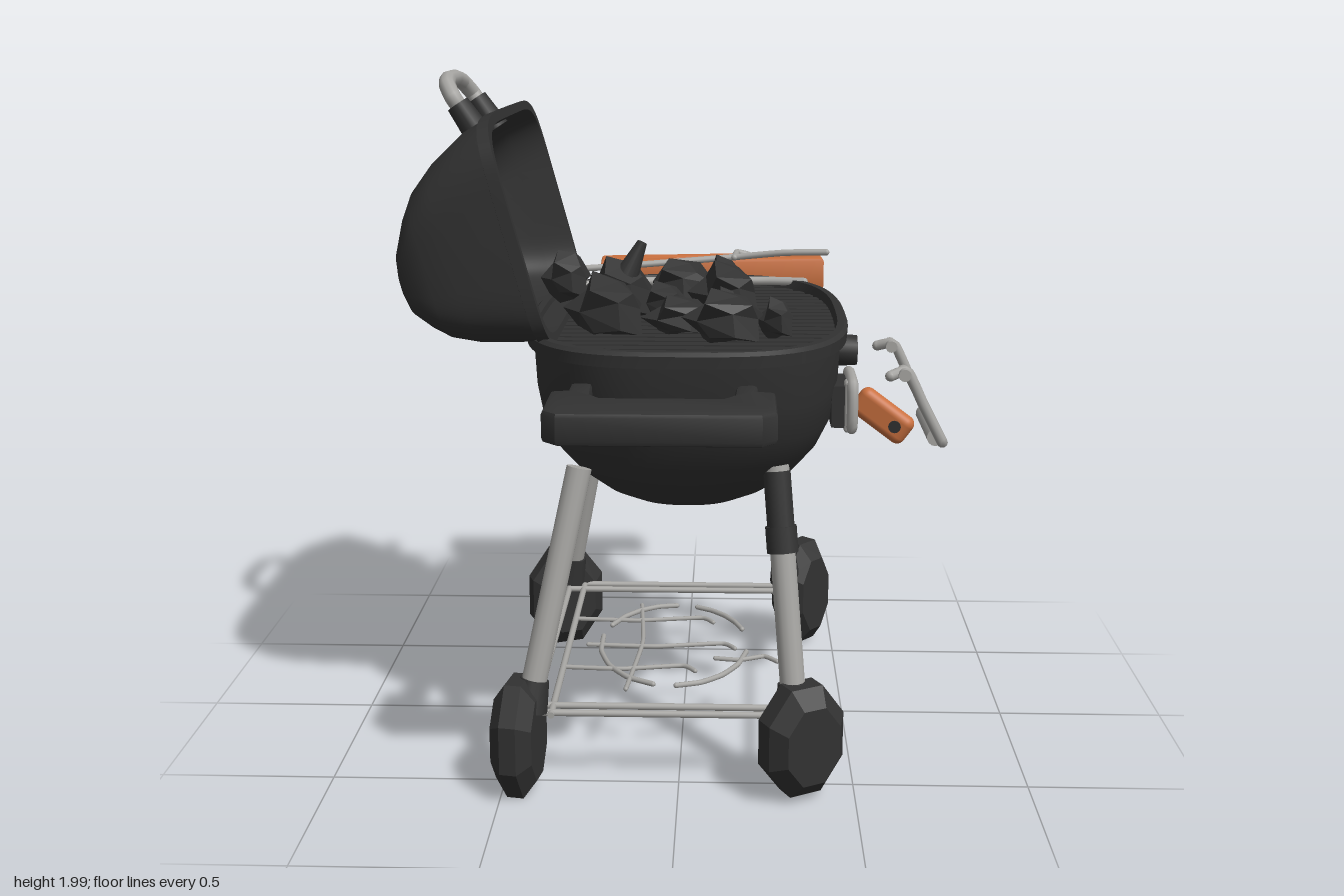
import * as THREE from 'three';
import { toCreasedNormals } from 'three/addons/utils/BufferGeometryUtils.js';
import { RoundedBoxGeometry } from 'three/addons/geometries/RoundedBoxGeometry.js';

const V = (p) => new THREE.Vector3(...p);

// Skin through superellipse rings [y, halfX, halfZ, exponent, centreX]
function loft(rings, seg = 72, crease = 0.7) {
  const pos = [], idx = [];
  for (const [y, hx, hz, n, cx = 0] of rings) {
    for (let j = 0; j < seg; j++) {
      const a = (j / seg) * Math.PI * 2, c = Math.cos(a), s = Math.sin(a);
      pos.push(cx + hx * Math.sign(c) * Math.abs(c) ** (2 / n), y, hz * Math.sign(s) * Math.abs(s) ** (2 / n));
    }
  }
  for (let i = 0; i < rings.length - 1; i++) {
    for (let j = 0; j < seg; j++) {
      const k = (j + 1) % seg, a = i * seg + j, b = i * seg + k;
      idx.push(a, a + seg, b, b, a + seg, b + seg);
    }
  }
  const g = new THREE.BufferGeometry();
  g.setAttribute('position', new THREE.Float32BufferAttribute(pos, 3));
  g.setIndex(idx);
  return toCreasedNormals(g, crease);
}

export function createModel() {
  const black = new THREE.MeshStandardMaterial({ color: 0x323232 });
  black.name = 'charcoal black';
  const steel = new THREE.MeshStandardMaterial({ color: 0xa6a5a2 });
  steel.name = 'steel grey';
  const wood = new THREE.MeshStandardMaterial({ color: 0xc9703f });
  wood.name = 'wood orange';

  const root = new THREE.Group();
  root.name = 'grill';
  const add = (name, geo, mat, p = [0, 0, 0], r = [0, 0, 0], parent = root) => {
    const m = new THREE.Mesh(geo, mat);
    m.name = name;
    m.position.set(...p);
    m.rotation.set(...r);
    parent.add(m);
    return m;
  };
  // Straight bar between two points
  const rod = (name, a, b, r, mat = steel, r2 = r) => {
    const d = V(b).sub(V(a));
    const m = add(name, new THREE.CylinderGeometry(r2, r, d.length(), 14), mat);
    m.position.copy(V(a)).addScaledVector(d, 0.5);
    m.quaternion.setFromUnitVectors(new THREE.Vector3(0, 1, 0), d.normalize());
    return m;
  };
  // Bent bar with round ends
  const tube = (name, pts, r, mat = steel, closed = false) => {
    const curve = new THREE.CatmullRomCurve3(pts.map(V), closed, 'catmullrom', 0.25);
    add(name, new THREE.TubeGeometry(curve, pts.length * 8, r, 10, closed), mat);
    if (!closed) for (const p of [pts[0], pts.at(-1)]) add(name + 'End', new THREE.SphereGeometry(r, 10, 6), mat, p);
  };

  // Bowl: outside up to the rim, over the lip and down the inside
  add('bowl', loft([
    [0.77, 0.001, 0.001, 2.3], [0.77, 0.13, 0.2, 2.3], [0.785, 0.2, 0.31, 2.4], [0.82, 0.265, 0.385, 2.5],
    [0.88, 0.335, 0.465, 2.6], [0.95, 0.39, 0.53, 2.7], [1.03, 0.425, 0.58, 2.8], [1.13, 0.44, 0.615, 2.9],
    [1.26, 0.445, 0.633, 3], [1.262, 0.463, 0.66, 3], [1.295, 0.465, 0.663, 3], [1.305, 0.455, 0.652, 3],
    [1.305, 0.435, 0.632, 3], [1.26, 0.425, 0.615, 3], [1.1, 0.415, 0.595, 2.9], [0.96, 0.37, 0.51, 2.7],
    [0.85, 0.27, 0.39, 2.5], [0.8, 0.15, 0.2, 2.3], [0.795, 0.001, 0.001, 2.3]]).translate(0.015, 0, 0), black);

  // Cooking grate clipped to the outline of the bowl
  for (let i = 0; i < 21; i++) {
    const z = -0.57 + i * 0.057;
    const h = 0.43 * (1 - Math.abs(z / 0.625) ** 3) ** (1 / 3);
    add('grateBar', new THREE.BoxGeometry(h * 2, 0.02, 0.042), black, [0.015, 1.268, z]);
  }
  for (const x of [-0.25, 0.28]) add('grateCrossBar', new THREE.BoxGeometry(0.025, 0.02, 1.05), black, [x, 1.25, 0]);
  tube('grateEdgeRod', [[-0.33, 1.3, -0.45], [-0.2, 1.3, -0.51], [-0.02, 1.3, -0.545], [0.25, 1.3, -0.55], [0.38, 1.3, -0.53]], 0.014);

  // Coals: unevenly pushed lumps [x, y, z, sizeX, sizeY, sizeZ]
  let seed = 7;
  const rnd = () => (seed = (seed * 16807) % 2147483647) / 2147483647;
  const coals = [
    [-0.02, 1.33, -0.32, 0.1, 0.08, 0.09], [0.12, 1.34, -0.35, 0.07, 0.07, 0.06], [0.13, 1.34, -0.08, 0.1, 0.09, 0.12],
    [-0.19, 1.35, -0.03, 0.11, 0.1, 0.09], [-0.35, 1.39, -0.03, 0.07, 0.08, 0.07], [-0.21, 1.34, 0.2, 0.11, 0.1, 0.13],
    [0, 1.32, 0.23, 0.1, 0.06, 0.08], [0.13, 1.34, 0.35, 0.11, 0.08, 0.1], [0.27, 1.33, 0.31, 0.05, 0.06, 0.06],
    [0.13, 1.33, 0.21, 0.05, 0.07, 0.06], [-0.06, 1.32, -0.03, 0.07, 0.06, 0.08]];
  for (const [x, y, z, sx, sy, sz] of coals) {
    const g = new THREE.DodecahedronGeometry(1);
    const k = [1, 2, 3].map(() => 2 + rnd() * 2);
    const p = g.attributes.position;
    for (let i = 0; i < p.count; i++) {
      const v = new THREE.Vector3().fromBufferAttribute(p, i);
      v.multiplyScalar(1 + 0.2 * Math.sin(v.x * k[0] + v.y * k[1] + v.z * k[2]));
      p.setXYZ(i, v.x * sx, v.y * sy, v.z * sz);
    }
    g.computeVertexNormals();
    add('coal', g, black, [x, y, z], [0, rnd() * 0.6, 0]);
  }
  rod('coalShard', [-0.2, 1.34, -0.02], [-0.125, 1.5, -0.02], 0.05, black, 0.015);

  // Open lid, a hollow dome leaning back
  const lid = new THREE.Group();
  lid.name = 'lid';
  lid.position.set(-0.425, 1.585, -0.005);
  lid.rotation.z = -1.308;
  root.add(lid);
  add('lidShell', loft([
    [-0.375, 0.001, 0.001, 4, 0.06], [-0.37, 0.06, 0.4, 4, 0.06], [-0.352, 0.115, 0.455, 4, 0.055],
    [-0.31, 0.175, 0.49, 4.5, 0.04], [-0.27, 0.218, 0.505, 5, 0.03], [-0.2, 0.262, 0.52, 5, 0.018],
    [-0.1, 0.3, 0.53, 5.5, 0.003], [-0.035, 0.315, 0.535, 6, 0], [-0.033, 0.325, 0.545, 6, 0], [0, 0.327, 0.547, 6, 0],
    [0, 0.3, 0.52, 6, 0], [-0.1, 0.28, 0.51, 5.5, 0.003], [-0.2, 0.242, 0.5, 5, 0.018], [-0.27, 0.198, 0.485, 5, 0.03],
    [-0.31, 0.155, 0.465, 4.5, 0.04], [-0.345, 0.06, 0.4, 4, 0.055], [-0.35, 0.001, 0.001, 4, 0.06]], 96),
    black, [0, 0, 0], [0, 0, 0], lid);

  // Lid handle
  const at = (f, z) => [-0.59 - 0.085 * f, 1.85 + 0.128 * f, z];
  tube('lidHandle', [at(0.3, 0.16), at(0.62, 0.17), at(0.9, 0.13), at(1, 0.06), at(1, -0.06), at(0.9, -0.13), at(0.62, -0.17), at(0.3, -0.16)], 0.024);
  for (const z of [-0.165, 0.165]) rod('lidHandleMount', at(-0.2, z), at(0.5, z), 0.04, black, 0.033);

  // Carrying shelves with a finger cut-out
  const s = new THREE.Shape();
  [[-0.235, 0.6], [-0.235, 0.68], [-0.28, 0.69], [-0.28, 0.88], [-0.25, 0.91], [0.25, 0.91], [0.28, 0.88], [0.28, 0.69],
    [0.235, 0.68], [0.235, 0.6], [0.205, 0.6], [0.2, 0.71], [0.16, 0.765], [-0.16, 0.765], [-0.2, 0.71], [-0.205, 0.6]]
    .forEach(([x, y], i) => (i ? s.lineTo(x, y) : s.moveTo(x, y)));
  const shelf = toCreasedNormals(new THREE.ExtrudeGeometry(s, { depth: 0.06, bevelSize: 0.014, bevelThickness: 0.014, bevelSegments: 2 }).rotateX(Math.PI / 2), 0.6);
  for (const r of [0, Math.PI]) add('shelf', shelf, black, [-0.035, 1.195, 0], [0, r, 0]);

  // Wooden tool handle with slot and hanging hole
  const tool = new THREE.Group();
  tool.name = 'toolHandle';
  tool.position.set(0.072, 1.29, -0.798);
  tool.rotation.set(0, 0.055, 0.01);
  root.add(tool);
  const ts = new THREE.Shape([[-0.37, -0.055], [0.37, -0.065], [0.37, 0.065], [-0.37, 0.055]].map((p) => new THREE.Vector2(...p)));
  const slot = new THREE.Path();
  slot.absarc(0.08, 0, 0.028, -Math.PI / 2, Math.PI / 2);
  slot.absarc(-0.11, 0, 0.028, Math.PI / 2, Math.PI * 1.5);
  const hole = new THREE.Path().absellipse(0.255, 0, 0.036, 0.028, 0, Math.PI * 2);
  ts.holes.push(slot, hole);
  add('toolWood', toCreasedNormals(new THREE.ExtrudeGeometry(ts, { depth: 0.085, bevelSize: 0.012, bevelThickness: 0.012, bevelSegments: 2 })
    .rotateX(Math.PI / 2).translate(0, 0.0425, 0), 0.6), wood, [0, 0, 0], [0, 0, 0], tool);
  add('toolTang', new THREE.BoxGeometry(0.23, 0.05, 0.05), steel, [-0.015, 0.01, 0], [0, 0, 0], tool);
  add('toolHoleLining', new THREE.CylinderGeometry(0.034, 0.034, 0.08, 16), black, [0.255, 0.005, 0], [0, 0, 0], tool);
  add('toolEndHole', new RoundedBoxGeometry(0.008, 0.04, 0.085, 2, 0.004), black, [0.382, 0.005, 0], [0, 0, 0], tool);

  // Fork lying along the back rim
  tube('forkShaft', [[-0.63, 1.31, -0.605], [-0.2, 1.335, -0.645], [0.15, 1.355, -0.71], [0.32, 1.375, -0.68], [0.46, 1.38, -0.66]], 0.011);
  tube('forkHook', [[-0.51, 1.315, -0.62], [-0.545, 1.3, -0.7], [-0.58, 1.29, -0.8]], 0.014);
  tube('forkTip', [[-0.61, 1.28, -0.79], [-0.58, 1.29, -0.8], [-0.545, 1.28, -0.79]], 0.012);
  tube('forkPin', [[0.15, 1.355, -0.7], [0.16, 1.36, -0.79], [0.2, 1.35, -0.8]], 0.011);

  // Hanging handle on the right side
  tube('sideHandle', [[0.6, 1.15, 0.22], [0.65, 1.16, 0.2], [0.7, 1.06, 0.2], [0.755, 0.955, 0.2], [0.76, 0.945, 0.17],
    [0.76, 0.945, -0.17], [0.755, 0.955, -0.2], [0.7, 1.06, -0.2], [0.65, 1.16, -0.2], [0.6, 1.15, -0.22]], 0.016);
  rod('sideHandleGrip', [0.745, 0.95, 0.15], [0.745, 0.95, -0.15], 0.026);
  for (const z of [-0.205, 0.205]) rod('sideHandleHook', [0.64, 1.155, z - 0.035], [0.64, 1.155, z + 0.035], 0.018);

  // Vent frame, lever and control knob
  tube('ventFrame', [[0.485, 1.145, 0.32], [0.485, 1.145, 0.14], [0.485, 1.02, 0.14], [0.485, 1.02, 0.32]], 0.016, steel, true);
  add('ventPlate', new THREE.BoxGeometry(0.05, 0.12, 0.17), black, [0.452, 1.08, 0.23]);
  add('ventBracket', new RoundedBoxGeometry(0.035, 0.15, 0.05, 2, 0.01), steel, [0.48, 1.08, 0.295]);
  add('lever', new RoundedBoxGeometry(0.18, 0.09, 0.05, 4, 0.024), wood, [0.572, 1.055, 0.305], [0, -0.25, -0.6]);
  add('leverHole', new THREE.CylinderGeometry(0.018, 0.018, 0.056, 12), black, [0.61, 1.03, 0.314], [Math.PI / 2, 0, 0.25]);
  rod('knobStem', [0.42, 1.12, -0.27], [0.5, 1.12, -0.27], 0.03, black);
  add('knob', toCreasedNormals(new THREE.CylinderGeometry(0.048, 0.052, 0.06, 12), 0.6), black, [0.51, 1.125, -0.27], [0, 0, -Math.PI / 2]);

  // Legs with block feet: [top], [bottom], foot [centre], foot [width, height, thickness], yaw
  const legs = [
    [[-0.28, 0.93, 0.43], [-0.43, 0.22, 0.56], [-0.45, 0.18, 0.565], [0.22, 0.34, 0.12], 1.4],
    [[0.27, 0.94, 0.43], [0.33, 0.22, 0.57], [0.345, 0.19, 0.575], [0.24, 0.32, 0.15], 0.5],
    [[-0.28, 0.93, -0.42], [-0.42, 0.22, -0.54], [-0.43, 0.19, -0.56], [0.25, 0.34, 0.13], 0.4],
    [[0.27, 0.94, -0.42], [0.34, 0.22, -0.54], [0.39, 0.2, -0.595], [0.2, 0.36, 0.14], 0.85]];
  const profile = [[0, -0.5], [0.7, -0.5], [1, -0.2], [1, 0.2], [0.7, 0.5], [0, 0.5]].map((p) => new THREE.Vector2(...p));
  for (const [top, bottom, c, [w, h, t], yaw] of legs) {
    rod('leg', bottom, top, 0.036);
    const g = new THREE.LatheGeometry(profile, 8).rotateX(Math.PI / 2).rotateZ(Math.PI / 8).scale(w * 0.54, h * 0.54, t);
    add('foot', toCreasedNormals(g, 0.3), black, c, [0, yaw, 0]);
    rod('footSocket', V(bottom).lerp(V(top), 0.05).toArray(), V(bottom).lerp(V(top), 0.17).toArray(), 0.055, black, 0.042);
    if (top[0] > 0) {
      const f = (k) => V(bottom).lerp(V(top), k).toArray();
      rod('legCollar', f(0.67), f(0.77), 0.045, black);
      if (top[2] > 0) rod('legSleeve', f(0.75), f(0.98), 0.039, black);
    }
  }

  // Bottom rack: rails, broken inner ring and loose cross wires
  const y = 0.235;
  for (const z of [-0.53, -0.48, 0.48, 0.53]) rod('rackRailX', [-0.41, y, z], [0.33, y, z], 0.01);
  for (const x of [-0.41, -0.36, 0.33]) rod('rackRailZ', [x, y, -0.55], [x, y, 0.55], 0.01);
  for (const [a0, a1] of [[0.2, 1.5], [1.8, 3.3], [3.6, 4.7], [5, 5.9]]) {
    const pts = [0, 1, 2, 3, 4].map((i) => {
      const a = a0 + ((a1 - a0) * i) / 4;
      return [-0.03 + 0.23 * Math.cos(a), y, 0.33 * Math.sin(a)];
    });
    tube('rackRing', pts, 0.008);
  }
  for (const [x0, x1, z] of [[-0.36, 0.05, -0.2], [-0.3, 0.12, 0.02], [-0.36, 0, 0.2], [0.1, 0.25, 0.12]]) {
    tube('rackWire', [[x0, y, z], [(x0 + x1) / 2, y, z + 0.01], [x1, y, z - 0.02], [x1 + 0.04, y, z + 0.02]], 0.007);
  }
  tube('rackWire', [[-0.15, y, -0.33], [-0.13, y, 0], [-0.16, y, 0.36]], 0.007);
  return root;
}
